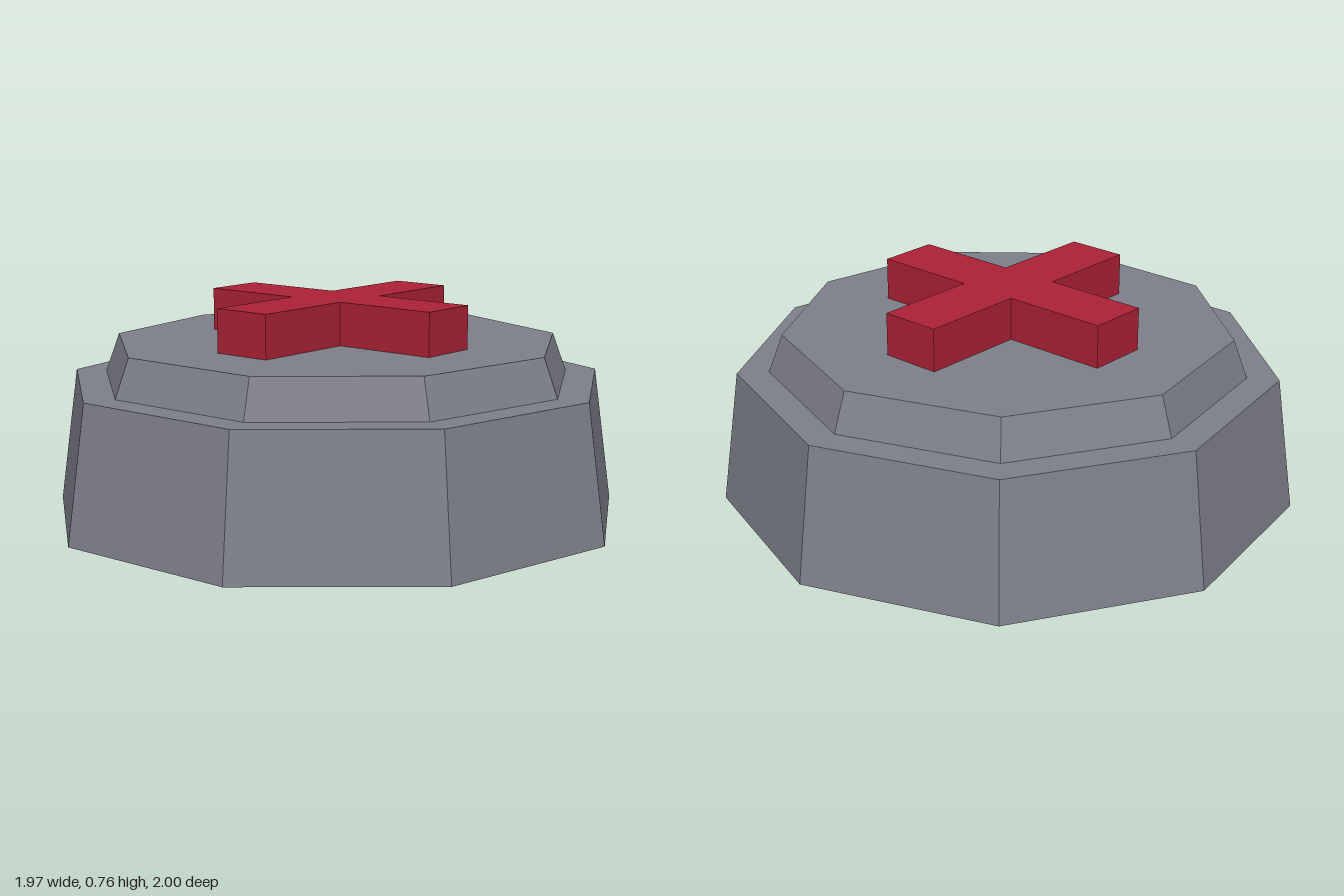
import * as THREE from 'three';

const SIDES = 9;
const CENTER_X = -0.031;

export function createModel() {
  const group = new THREE.Group();
  group.name = 'crossButton';

  const grey = new THREE.MeshStandardMaterial({ color: 0x7f818b });
  grey.name = 'grey';
  const red = new THREE.MeshStandardMaterial({ color: 0xae2236 });
  red.name = 'red';

  // Faceted nine-sided tier with one corner pointing to +x
  function tier(name, topRadius, bottomRadius, y0, y1) {
    const geometry = new THREE.CylinderGeometry(
      topRadius, bottomRadius, y1 - y0, SIDES, 1, false, Math.PI / 2
    ).toNonIndexed();
    geometry.computeVertexNormals();
    const mesh = new THREE.Mesh(geometry, grey);
    mesh.name = name;
    mesh.position.set(CENTER_X, (y0 + y1) / 2, 0);
    group.add(mesh);
  }
  tier('base', 0.948, 1.0154, 0, 0.475);
  tier('upperTier', 0.787, 0.837, 0.475, 0.61);

  // Raised cross, outlined one arm at a time
  const arm = 0.486;
  const half = 0.108;
  const points = [];
  for (let i = 0; i < 4; i++) {
    for (const [x, y] of [[arm, -half], [arm, half], [half, half]]) {
      points.push(new THREE.Vector2(x, y).rotateAround(new THREE.Vector2(), i * Math.PI / 2));
    }
  }
  const crossGeometry = new THREE.ExtrudeGeometry(new THREE.Shape(points), {
    depth: 0.15, bevelEnabled: false
  });
  crossGeometry.rotateX(-Math.PI / 2);
  const cross = new THREE.Mesh(crossGeometry, red);
  cross.name = 'cross';
  cross.position.set(CENTER_X, 0.61, 0);
  group.add(cross);

  return group;
}
